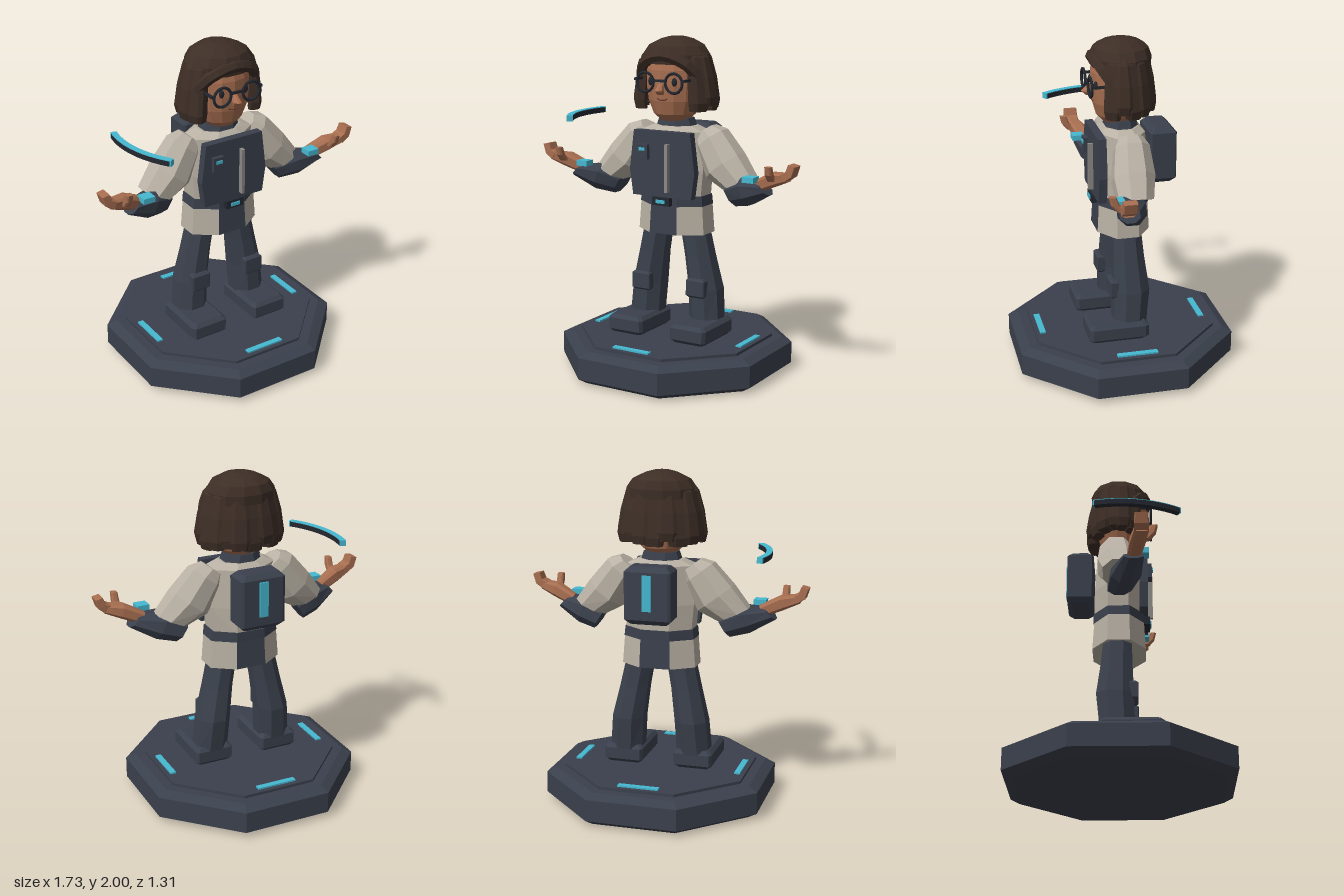
import * as THREE from 'three';

const mat = (name, color) => Object.assign(new THREE.MeshStandardMaterial({ color }), { name });

export function createModel() {
  const dark = mat('slate', 0x3a404c), black = mat('charcoal', 0x23272f), light = mat('stone', 0xb9b1a4);
  const skin = mat('skin', 0xa76e50), hair = mat('hair brown', 0x3d2e26), cyan = mat('cyan glow', 0x46b8d0);
  const grey = mat('zip grey', 0x8b8985), lip = mat('lip brown', 0x6b3f30);
  const root = new THREE.Group();
  root.name = 'figure';

  const add = (name, geo, material, parent = root, x = 0, y = 0, z = 0) => {
    const m = new THREE.Mesh(geo, material);
    m.name = name;
    m.position.set(x, y, z);
    parent.add(m);
    return m;
  };
  const flat = (g) => {
    const f = g.index ? g.toNonIndexed() : g;
    f.computeVertexNormals();
    return f;
  };
  // Box given by its limits
  const box = (name, material, x0, x1, y0, y1, z0, z1, parent = root) =>
    add(name, new THREE.BoxGeometry(x1 - x0, y1 - y0, z1 - z0), material, parent, (x0 + x1) / 2, (y0 + y1) / 2, (z0 + z1) / 2);

  // Faceted loft; ring = [cx, cy, cz, angle of u in the xy plane in degrees, ru, rz].
  // c < 1: chamfered octagon section, otherwise a c-sided one. Listed sides use material 1.
  const loft = (rings, c = 0.42, accent = []) => {
    const sec = c < 1
      ? [[1, c], [c, 1], [-c, 1], [-1, c], [-1, -c], [-c, -1], [c, -1], [1, -c]]
      : Array.from({ length: c }, (_, i) => [Math.cos((i + 0.5) / c * 2 * Math.PI), Math.sin((i + 0.5) / c * 2 * Math.PI)]);
    const n = sec.length;
    const pts = rings.map(([x, y, z, a, ru, rz]) => {
      const u = new THREE.Vector3(Math.cos(a * Math.PI / 180), Math.sin(a * Math.PI / 180), 0);
      return sec.map(([p, q]) => new THREE.Vector3(x, y, z + q * rz).addScaledVector(u, p * ru));
    });
    const tris = [[], []];
    for (let i = 0; i < n; i++) {
      const j = (i + 1) % n, t = tris[accent.includes(i) ? 1 : 0];
      for (let r = 0; r + 1 < pts.length; r++) {
        const [a, b] = [pts[r], pts[r + 1]];
        t.push([a[i], b[i], b[j]], [a[i], b[j], a[j]]);
      }
      if (i > 0 && i < n - 1) {
        const a = pts[0], b = pts[pts.length - 1];
        tris[0].push([a[0], a[i], a[j]], [b[0], b[j], b[i]]);
      }
    }
    const all = [...tris[0], ...tris[1]];
    // Turn the faces outward whichever way the rings run
    const volume = all.reduce((s, [a, b, d]) => s + a.dot(b.clone().cross(d)), 0);
    if (volume < 0) all.forEach((t) => t.reverse());
    const g = new THREE.BufferGeometry().setFromPoints(all.flat());
    g.computeVertexNormals();
    if (accent.length) {
      g.addGroup(0, tris[0].length * 3, 0);
      g.addGroup(tris[0].length * 3, tris[1].length * 3, 1);
    }
    return g;
  };
  // Box with bevelled edges
  const bevelBox = (x, z, y0, y1, rx, rz, b) => loft([
    [x, y0, z, 0, rx - b, rz - b], [x, y0 + b, z, 0, rx, rz],
    [x, y1 - b, z, 0, rx, rz], [x, y1, z, 0, rx - b, rz - b]], 0.88);

  // Octagonal base with a raised plate and four lights
  const k = 1 / Math.cos(Math.PI / 8);
  const octagon = (profile) => flat(new THREE.LatheGeometry(profile.map(([r, y]) => new THREE.Vector2(r * k, y)), 8, Math.PI / 8));
  add('base', octagon([[0, 0], [0.6, 0], [0.655, 0.035], [0.655, 0.165], [0.6, 0.195], [0, 0.195]]), dark);
  add('basePlate', octagon([[0.545, 0.19], [0.545, 0.212], [0, 0.212]]), dark);
  for (let i = 0; i < 4; i++) {
    const a = i * Math.PI / 2;
    add('baseLight', new THREE.BoxGeometry(0.245, 0.012, 0.035), cyan, root, 0.5 * Math.sin(a), 0.216, 0.5 * Math.cos(a)).rotation.y = a;
  }

  // Coat, belt and vest
  add('coatTail', loft([[0, 0.84, -0.008, 0, 0.225, 0.158], [0, 1.02, -0.008, 0, 0.212, 0.148]], 0.42, [1, 5]), [light, dark]);
  add('torso', loft([[0, 1.06, -0.01, 0, 0.2, 0.145], [0, 1.22, -0.01, 0, 0.215, 0.145],
    [0, 1.45, -0.01, 0, 0.2, 0.13], [0, 1.48, -0.01, 0, 0.13, 0.1]]), light);
  add('belt', loft([[0, 1.01, -0.008, 0, 0.215, 0.152], [0, 1.07, -0.008, 0, 0.208, 0.152]]), dark);
  add('collar', loft([[0, 1.45, -0.01, 0, 0.13, 0.105], [0, 1.48, -0.01, 0, 0.115, 0.095], [0, 1.525, -0.01, 0, 0.1, 0.085]]), dark);
  const vest = new THREE.Shape([[-0.2, 1.065], [0.2, 1.065], [0.222, 1.22], [0.192, 1.455], [-0.192, 1.455], [-0.222, 1.22]]
    .map(([x, y]) => new THREE.Vector2(x, y)));
  add('vestPanel', new THREE.ExtrudeGeometry(vest, { depth: 0.05, bevelEnabled: false }), dark, root, 0, 0, 0.115);
  box('zip', grey, 0.035, 0.055, 1.1, 1.385, 0.165, 0.195);
  box('chestPocket', dark, -0.155, -0.085, 1.285, 1.375, 0.16, 0.19);
  box('pocketLight', cyan, -0.14, -0.1, 1.338, 1.356, 0.19, 0.198);
  box('buckle', black, -0.06, 0.06, 1.015, 1.065, 0.13, 0.178);
  box('buckleLight', cyan, -0.03, 0.03, 1.03, 1.05, 0.178, 0.186);

  // Backpack
  add('backpack', bevelBox(0, -0.242, 1.135, 1.475, 0.14, 0.08, 0.03), dark);
  box('backpackLight', cyan, -0.027, 0.027, 1.22, 1.43, -0.332, -0.32);

  // Arms and legs, mirrored
  for (const s of [1, -1]) {
    const limbs = new THREE.Group();
    limbs.name = s > 0 ? 'leftLimbs' : 'rightLimbs';
    limbs.scale.x = s;
    root.add(limbs);

    add('leg', loft([[0.12, 0.9, -0.015, 0, 0.082, 0.082], [0.16, 0.7, -0.02, 0, 0.086, 0.092],
      [0.196, 0.5, -0.028, 0, 0.097, 0.108], [0.21, 0.3, -0.015, 0, 0.1, 0.1]]), dark, limbs);
    add('kneePad', bevelBox(0.19, 0.078, 0.46, 0.575, 0.061, 0.027, 0.012), dark, limbs);
    add('boot', bevelBox(0.217, 0.068, 0.212, 0.325, 0.12, 0.182, 0.022), dark, limbs);

    add('sleeve', loft([[0.19, 1.45, -0.025, 37, 0.068, 0.07], [0.235, 1.405, -0.02, 37, 0.105, 0.1],
      [0.335, 1.26, -0.008, 37, 0.125, 0.12], [0.44, 1.165, 0.005, 24, 0.1, 0.1]]), light, limbs);
    add('gauntlet', loft([[0.382, 1.095, 0, 122, 0.076, 0.07], [0.5, 1.135, 0.04, 113, 0.088, 0.086],
      [0.645, 1.165, 0.085, 135, 0.047, 0.058]]), dark, limbs);
    box('gauntletLight', cyan, 0.535, 0.61, 1.203, 1.236, 0.1, 0.172, limbs);
    add('palm', loft([[0.59, 1.175, 0.08, 107, 0.036, 0.036], [0.71, 1.228, 0.108, 107, 0.042, 0.045],
      [0.8, 1.25, 0.13, 118, 0.027, 0.041]], 0.6), skin, limbs);
    add('fingers', loft([[0.785, 1.248, 0.13, 118, 0.026, 0.041], [0.825, 1.272, 0.13, 145, 0.025, 0.041],
      [0.842, 1.322, 0.13, 168, 0.023, 0.039]], 0.85), skin, limbs);
    add('thumb', loft([[0.715, 1.225, 0.15, 0, 0.022, 0.026], [0.716, 1.265, 0.185, 0, 0.021, 0.024],
      [0.717, 1.312, 0.2, 0, 0.019, 0.02]], 0.6), skin, limbs);
  }

  // Head and face
  const head = new THREE.Group();
  head.name = 'head';
  root.add(head);
  add('face', loft([[0, 1.51, 0.01, 0, 0.08, 0.085], [0, 1.55, 0.01, 0, 0.128, 0.125], [0, 1.63, 0.01, 0, 0.162, 0.148],
    [0, 1.72, 0.01, 0, 0.174, 0.157], [0, 1.81, 0.01, 0, 0.174, 0.157], [0, 1.9, 0.01, 0, 0.15, 0.135]], 14), skin, head);
  add('nose', loft([[0, 1.672, 0.175, 0, 0.018, 0.02], [0, 1.695, 0.188, 0, 0.024, 0.033], [0, 1.735, 0.165, 0, 0.012, 0.014]]), skin, head);
  const smile = new THREE.QuadraticBezierCurve3(new THREE.Vector3(-0.036, 1.648, 0.155),
    new THREE.Vector3(0, 1.627, 0.163), new THREE.Vector3(0.036, 1.648, 0.155));
  add('mouth', new THREE.TubeGeometry(smile, 8, 0.004, 5), lip, head);
  for (const s of [1, -1]) {
    const eye = add('eye', new THREE.SphereGeometry(1, 12, 8), black, head, s * 0.08, 1.745, 0.152);
    eye.scale.set(0.017, 0.025, 0.012);
    add('lensRim', new THREE.TorusGeometry(0.057, 0.0085, 8, 20), black, head, s * 0.097, 1.742, 0.188);
    box('glassesArm', black, s * 0.165 - 0.007, s * 0.165 + 0.007, 1.75, 1.765, 0.03, 0.192, head);
  }
  box('glassesBridge', black, -0.042, 0.042, 1.746, 1.76, 0.181, 0.195, head);

  // Hair: cap, swept fringe, back shell and a row of locks
  add('hairCap', loft([[0, 1.845, -0.008, 0, 0.212, 0.178], [0, 1.9, -0.008, 0, 0.208, 0.18], [0, 1.95, -0.01, 0, 0.172, 0.16],
    [0, 1.985, -0.012, 0, 0.1, 0.105], [0, 2, -0.012, 0, 0.045, 0.05]], 12), hair, head);
  const sweep = new THREE.CatmullRomCurve3([[-0.195, 1.77, 0.07], [-0.14, 1.85, 0.125], [0, 1.897, 0.152], [0.14, 1.85, 0.125], [0.195, 1.77, 0.07]]
    .map((p) => new THREE.Vector3(...p)));
  add('fringe', flat(new THREE.TubeGeometry(sweep, 10, 0.036, 6)), hair, head);
  const bob = new THREE.Group();
  bob.name = 'bob';
  bob.scale.z = 0.8;
  head.add(bob);
  const shell = [[0.19, 1.9], [0.215, 1.75], [0.232, 1.62], [0.17, 1.61], [0.17, 1.88]].map(([r, y]) => new THREE.Vector2(r, y));
  const shellMat = hair.clone();
  shellMat.side = THREE.DoubleSide;
  add('hairShell', flat(new THREE.LatheGeometry(shell, 18, 1.1, 2 * Math.PI - 2.2)), shellMat, bob);
  const locks = 13;
  for (let i = 0; i < locks; i++) {
    const a = 1.12 + (2 * Math.PI - 2.24) * i / (locks - 1);
    const drop = 1.575 + 0.022 * (i % 3 === 1 ? 1 : 0) + 0.01 * (i % 2);
    const out = i % 2 ? 0.008 : 0;
    add('hairLock', loft([[0, drop, 0.215 + out, 0, 0.05, 0.036], [0, drop + 0.05, 0.222 + out, 0, 0.062, 0.04],
      [0, 1.77, 0.205 + out, 0, 0.058, 0.037], [0, 1.885, 0.18 + out, 0, 0.045, 0.03], [0, 1.94, 0.15, 0, 0.03, 0.02]], 0.6), hair, bob).rotation.y = a;
  }

  // Floating curved display strip
  const strip = new THREE.Group();
  strip.name = 'floatingStrip';
  strip.position.x = -0.03;
  root.add(strip);
  const a0 = Math.PI - 0.608, a1 = Math.PI + 0.234;
  const arc = new THREE.Shape();
  arc.absarc(0, 0, 0.623, a0, a1, false);
  arc.absarc(0, 0, 0.587, a1, a0, true);
  const band = (name, material, top, depth) => {
    add(name, new THREE.ExtrudeGeometry(arc, { depth, bevelEnabled: false, curveSegments: 12 }), material, strip, 0, top, 0).rotation.x = Math.PI / 2;
  };
  band('stripBody', black, 1.531, 0.031);
  band('stripGlow', cyan, 1.535, 0.004);
  for (const a of [a0, a1])
    add('stripEnd', new THREE.BoxGeometry(0.037, 0.035, 0.008), cyan, strip, 0.605 * Math.cos(a), 1.5175, 0.605 * Math.sin(a)).rotation.y = -a;

  return root;
}
